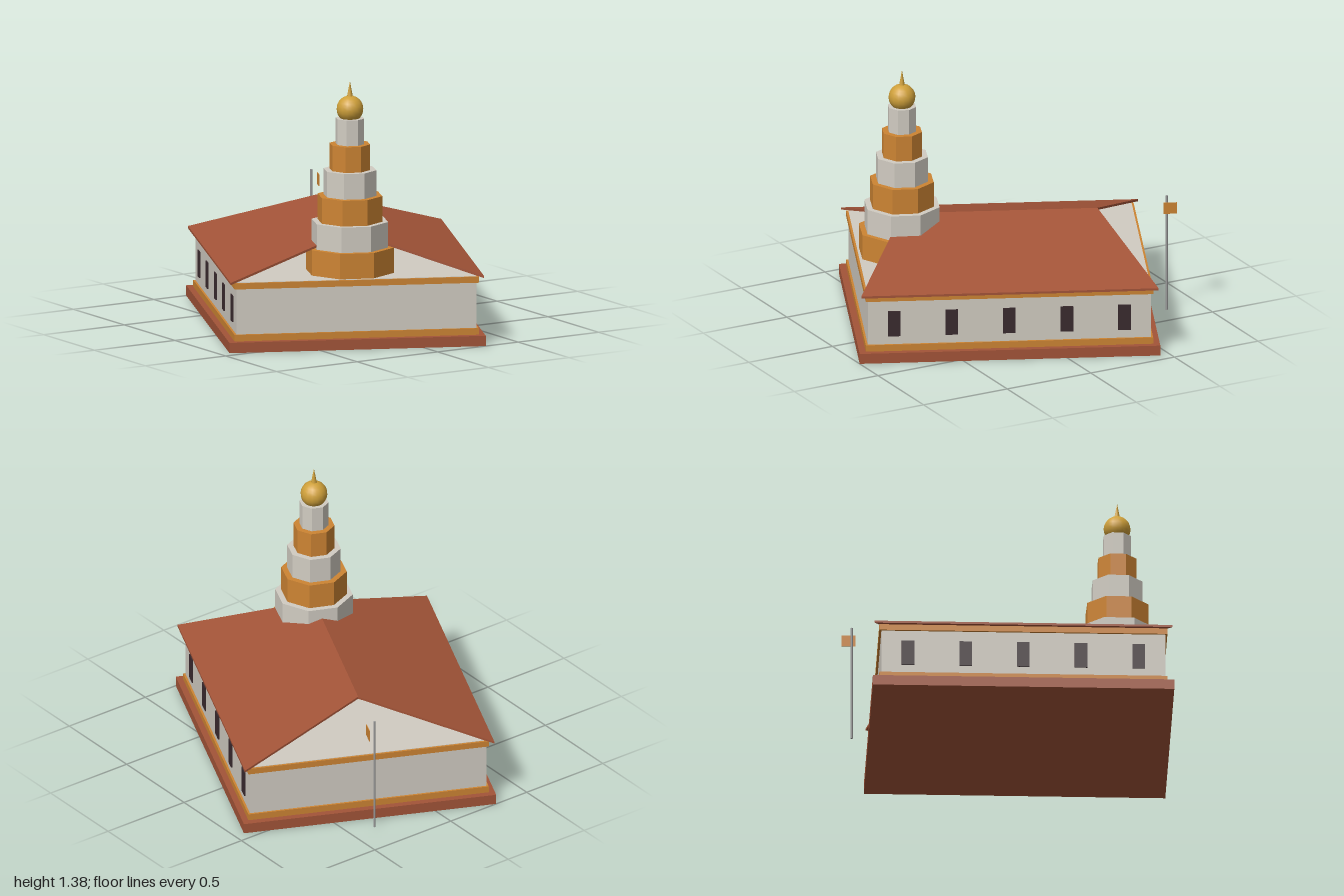
import * as THREE from 'three';

const mat = (name, color) => {
  const m = new THREE.MeshStandardMaterial({ color });
  m.name = name;
  return m;
};

export function createModel() {
  const terracotta = mat('terracotta', 0xa35438);
  const cream = mat('cream', 0xd1ccc2);
  const ochre = mat('ochre', 0xcd8433);
  const gold = mat('gold', 0xcfa03a);
  const dark = mat('window dark', 0x3a2a2e);
  const grey = mat('pole grey', 0x9a9a9a);

  const model = new THREE.Group();
  model.name = 'towerHall';
  const hall = new THREE.Group();
  hall.name = 'hall';
  hall.rotation.y = THREE.MathUtils.degToRad(-24);
  model.add(hall);

  const add = (parent, name, geometry, material, x, y, z) => {
    const mesh = new THREE.Mesh(geometry, material);
    mesh.name = name;
    mesh.position.set(x, y, z);
    parent.add(mesh);
    return mesh;
  };
  // Box layer given by half width, half length, bottom and top
  const layer = (name, material, hx, hz, y0, y1) =>
    add(hall, name, new THREE.BoxGeometry(hx * 2, y1 - y0, hz * 2), material, 0, (y0 + y1) / 2, 0);

  // Plinth, walls and trim bands
  layer('plinth', terracotta, 0.68, 0.792, 0, 0.055);
  layer('walls', cream, 0.637, 0.746, 0.055, 0.367);
  layer('lowerBand', ochre, 0.648, 0.757, 0.055, 0.09);
  layer('upperBand', ochre, 0.648, 0.757, 0.333, 0.365);

  // Five windows on each long wall
  for (const side of [-1, 1]) {
    for (let i = -2; i <= 2; i++) {
      add(hall, 'window', new THREE.BoxGeometry(0.009, 0.14, 0.066), dark, side * 0.639, 0.205, i * 0.303);
    }
  }

  // Two thin roof slopes, open at both ends, narrowing to the ridge
  for (const side of [-1, 1]) {
    const geo = new THREE.BoxGeometry(1, 1, 1);
    const p = geo.attributes.position;
    for (let i = 0; i < p.count; i++) {
      const eave = p.getX(i) * side > 0;
      const top = p.getY(i) > 0 ? 0.012 : 0;
      const end = Math.sign(p.getZ(i));
      p.setXYZ(i, eave ? side * 0.672 : 0, (eave ? 0.362 : 0.571) + top, end * (eave ? 0.783 : 0.515));
    }
    geo.computeVertexNormals();
    add(hall, side > 0 ? 'rightRoofSlope' : 'leftRoofSlope', geo, terracotta, 0, 0, 0);
  }

  // Flagpole behind the hall, with a small flag
  add(hall, 'flagpole', new THREE.CylinderGeometry(0.006, 0.006, 0.64, 8), grey, -0.003, 0.32, -0.88);
  add(hall, 'flag', new THREE.BoxGeometry(0.004, 0.062, 0.072), ochre, 0.035, 0.583, -0.895);

  // Stepped octagonal tower
  const tower = new THREE.Group();
  tower.name = 'tower';
  tower.position.set(-0.21, 0, 0.47);
  model.add(tower);
  const radii = [0.236, 0.206, 0.174, 0.142, 0.109, 0.077];
  const levels = [0.365, 0.502, 0.638, 0.775, 0.912, 1.049, 1.186];
  radii.forEach((r, i) => {
    const geo = new THREE.CylinderGeometry(r, r, levels[i + 1] - levels[i], 8).toNonIndexed();
    geo.computeVertexNormals();
    add(tower, 'towerTier', geo, i % 2 ? cream : ochre, 0, (levels[i] + levels[i + 1]) / 2, 0);
  });

  // Golden ball and spike
  add(tower, 'dome', new THREE.SphereGeometry(0.071, 16, 12), gold, 0, 1.235, 0);
  add(tower, 'spire', new THREE.ConeGeometry(0.018, 0.095, 8), gold, 0, 1.3375, 0);

  return model;
}
